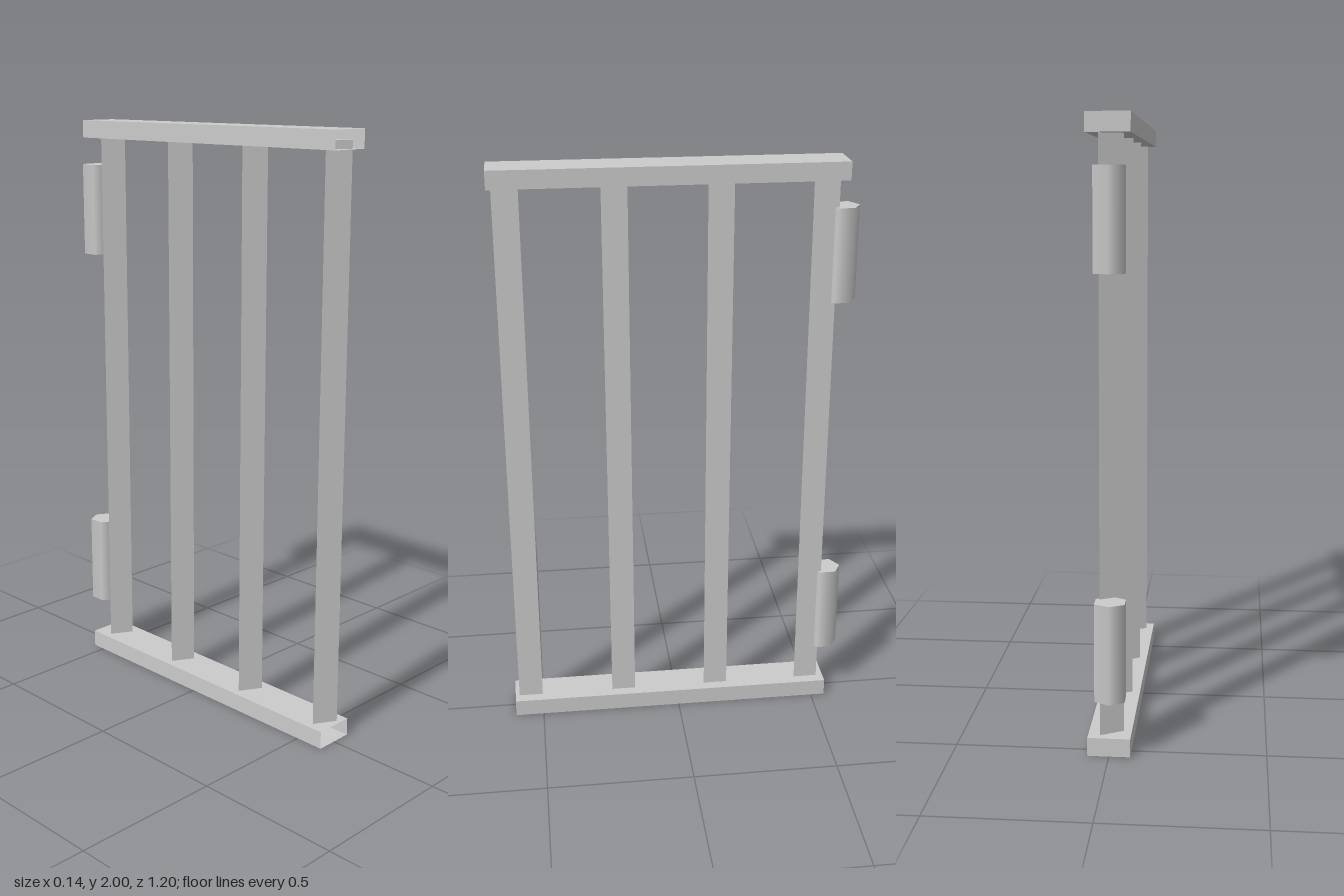
import * as THREE from 'three';

export function createModel() {
  const model = new THREE.Group();
  model.name = 'gate';
  const solid = new THREE.MeshStandardMaterial({ color: 0xcccccc });
  const flat = new THREE.MeshStandardMaterial({ color: 0xcccccc, flatShading: true });
  const sheet = new THREE.MeshStandardMaterial({ color: 0xcccccc, flatShading: true, side: THREE.DoubleSide });

  function add(name, geometry, material, x, y, z) {
    const mesh = new THREE.Mesh(geometry, material);
    mesh.name = name;
    mesh.position.set(x, y, z);
    model.add(mesh);
  }

  // Rails: thin hollow boxes, open at the front end
  const railHeight = 0.06;
  const railGeo = new THREE.BoxGeometry(0.137, railHeight, 1.15);
  const index = Array.from(railGeo.index.array);
  index.splice(24, 6); // drop the +z face
  railGeo.setIndex(index);
  railGeo.clearGroups();
  add('bottomRail', railGeo, sheet, 0, railHeight / 2, 0.025);
  add('topRail', railGeo, sheet, 0, 2 - railHeight / 2, 0.025);

  // Bars: triangular prisms, flat side towards +x, tops reaching into the top rail
  const barBottom = 0.06, barTop = 1.967;
  const barGeo = new THREE.CylinderGeometry(0.049, 0.049, barTop - barBottom, 3, 1, false, -Math.PI / 2);
  for (let i = 0; i < 4; i++) {
    add('bar' + (i + 1), barGeo, flat, 0.006, (barTop + barBottom) / 2, 0.543 - i * 0.342);
  }

  // Hinges: six-sided barrels with smooth sides on the rear bar
  const hingeGeo = new THREE.CylinderGeometry(0.055, 0.055, 0.318, 6);
  add('lowerHinge', hingeGeo, solid, -0.005, 0.35, -0.547);
  add('upperHinge', hingeGeo, solid, -0.005, 1.686, -0.547);

  return model;
}
